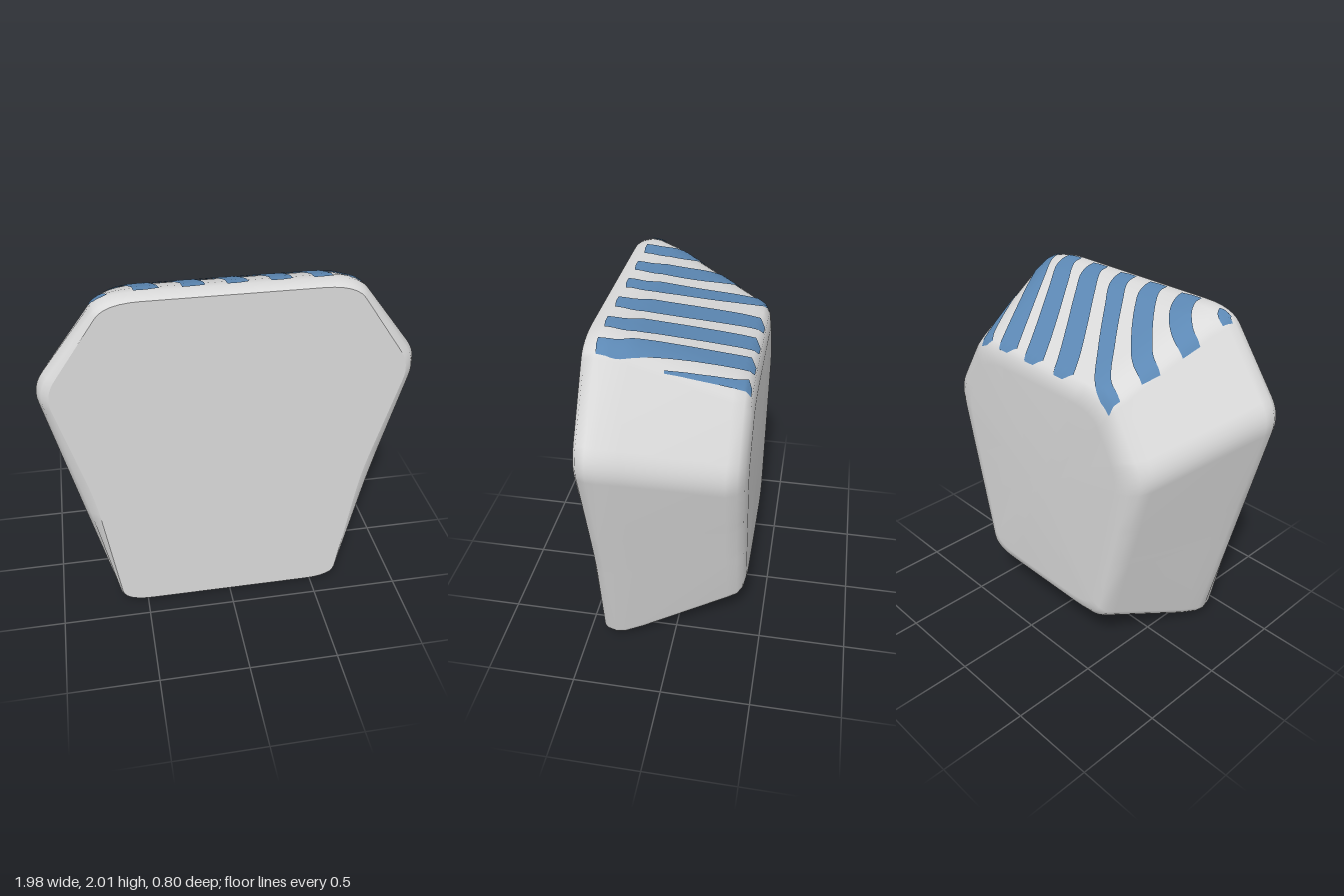
import * as THREE from 'three';

// Cross-sections from front to back: z, topY, bottomY, topX, hipX, hipY, bottomX, dent
const SECTIONS = [
  [0.40, 1.98, 0.02, 0.62, 0.95, 1.50, 0.635, 0.05],
  [0.38, 1.99, 0.01, 0.635, 0.985, 1.515, 0.64, 0.02],
  [0.33, 2.00, 0.00, 0.645, 1.008, 1.525, 0.645, 0],
  [0.28, 1.995, 0.005, 0.64, 0.998, 1.515, 0.64, 0],
  [0.18, 1.967, 0.033, 0.615, 0.962, 1.49, 0.61, 0],
  [-0.30, 1.738, 0.235, 0.51, 0.77, 1.33, 0.49, 0],
  [-0.355, 1.71, 0.26, 0.495, 0.735, 1.32, 0.475, 0],
  [-0.385, 1.675, 0.295, 0.47, 0.68, 1.31, 0.45, 0],
  [-0.40, 1.60, 0.35, 0.42, 0.60, 1.29, 0.41, 0],
];

// Rounded coffin-shaped outline, clockwise seen from the front
function outline([, top, bottom, topX, hipX, hipY, bottomX, dent]) {
  const midY = bottom + (hipY - bottom) * 0.53;
  const midX = bottomX + (hipX - bottomX) * 0.53 - dent;
  // corner x, y, cut before the corner, cut after it
  const half = [
    [topX, top, 0.17, 0.09], [hipX, hipY, 0.1, 0.1],
    [midX, midY, 0.15, 0.15], [bottomX, bottom, 0.08, 0.17],
  ];
  const corners = [...half, ...half.slice().reverse().map(([x, y, a, b]) => [-x, y, b, a])];
  const points = [];
  corners.forEach(([x, y, before, after], i) => {
    const at = (c) => new THREE.Vector2(c[0], c[1]);
    const corner = new THREE.Vector2(x, y);
    const toward = (c, d) => corner.clone().add(at(c).sub(corner).setLength(d));
    const curve = new THREE.QuadraticBezierCurve(
      toward(corners.at(i - 1), before), corner, toward(corners[(i + 1) % corners.length], after));
    points.push(...curve.getPoints(6));
  });
  return points;
}

function sectionAt(z) {
  let i = 0;
  while (i < SECTIONS.length - 2 && z < SECTIONS[i + 1][0]) i++;
  const a = SECTIONS[i], b = SECTIONS[i + 1];
  const t = (z - a[0]) / (b[0] - a[0]);
  return a.map((v, k) => v + (b[k] - v) * t);
}

// Height of the upper surface at x, z
function topHeight(x, z) {
  const p = outline(sectionAt(z));
  let best = 0;
  p.forEach((a, i) => {
    const b = p[(i + 1) % p.length];
    if (Math.abs(a.x - b.x) < 1e-6 || (x - a.x) * (x - b.x) > 0) return;
    best = Math.max(best, a.y + (b.y - a.y) * (x - a.x) / (b.x - a.x));
  });
  return best;
}

function makeGeometry(positions, index) {
  const g = new THREE.BufferGeometry();
  g.setAttribute('position', new THREE.Float32BufferAttribute(positions, 3));
  g.setIndex(index);
  g.computeVertexNormals();
  return g;
}

// Smooth sides with a closed back
function shellGeometry() {
  const rings = SECTIONS.map(outline), n = rings[0].length;
  const positions = [], index = [];
  rings.forEach((ring, i) => ring.forEach((p) => positions.push(p.x, p.y, SECTIONS[i][0])));
  for (let i = 0; i < rings.length - 1; i++) {
    for (let j = 0; j < n; j++) {
      const a = i * n + j, b = i * n + (j + 1) % n;
      index.push(a, b, a + n, b, b + n, a + n);
    }
  }
  const last = (rings.length - 1) * n;
  positions.push(0, 0.97, -0.4);
  for (let j = 0; j < n; j++) index.push(last + n, last + j, last + (j + 1) % n);
  return makeGeometry(positions, index);
}

// Flat front panel with a sharp rim
function frontGeometry() {
  const ring = outline(SECTIONS[0]), n = ring.length;
  const positions = [0, 1, 0.4], index = [];
  ring.forEach((p, j) => {
    positions.push(p.x, p.y, 0.4);
    index.push(0, 1 + (j + 1) % n, 1 + j);
  });
  return makeGeometry(positions, index);
}

// Ribbon laid over the upper surface along x, z points
function stripeGeometry(path, startWidth, endWidth) {
  const curve = new THREE.CatmullRomCurve3(path.map(([x, z]) => new THREE.Vector3(x, 0, z)), false, 'centripetal');
  const rows = 28, cols = 6, positions = [], index = [];
  for (let i = 0; i <= rows; i++) {
    const p = curve.getPoint(i / rows), t = curve.getTangent(i / rows);
    const width = startWidth + (endWidth - startWidth) * i / rows;
    for (let j = 0; j <= cols; j++) {
      const s = (j / cols - 0.5) * width;
      const x = p.x + t.z * s;
      const z = THREE.MathUtils.clamp(p.z - t.x * s, -0.38, 0.33);
      positions.push(x, topHeight(x, z) + 0.007, z);
      if (i < rows && j < cols) {
        const a = i * (cols + 1) + j, b = a + cols + 1;
        index.push(a, b, a + 1, b, b + 1, a + 1);
      }
    }
  }
  return makeGeometry(positions, index);
}

// Stripe paths with start and end widths
const STRIPES = [
  [[[-0.685, 0.285], [-0.65, 0.295], [-0.63, 0.335]], 0.06, 0.07],
  [[[-0.645, 0.065], [-0.57, 0.085], [-0.48, 0.16], [-0.425, 0.25], [-0.41, 0.33]], 0.1, 0.125],
  [[[-0.585, -0.155], [-0.5, -0.125], [-0.38, -0.01], [-0.25, 0.15], [-0.19, 0.25], [-0.18, 0.33]], 0.1, 0.115],
  [[[-0.53, -0.355], [-0.43, -0.325], [-0.27, -0.15], [-0.08, 0.09], [0.02, 0.23], [0.04, 0.33]], 0.07, 0.11],
  [[[-0.19, -0.38], [-0.13, -0.28], [0, -0.1], [0.15, 0.1], [0.245, 0.24], [0.26, 0.33]], 0.12, 0.11],
  [[[0.04, -0.38], [0.1, -0.28], [0.22, -0.1], [0.36, 0.1], [0.455, 0.24], [0.47, 0.33]], 0.12, 0.1],
  [[[0.25, -0.38], [0.31, -0.28], [0.42, -0.1], [0.55, 0.11], [0.63, 0.24], [0.645, 0.33]], 0.12, 0.08],
  [[[0.43, -0.38], [0.46, -0.33], [0.53, -0.18], [0.615, 0.02]], 0.08, 0.01],
];

export function createModel() {
  const model = new THREE.Group();
  model.name = 'stripedBlock';
  const grey = new THREE.MeshStandardMaterial({ color: 0xdadada });
  grey.name = 'light grey';
  const blue = new THREE.MeshStandardMaterial({ color: 0x5c88b4, side: THREE.DoubleSide });
  blue.name = 'stripe blue';

  const add = (name, geometry, material) => {
    const mesh = new THREE.Mesh(geometry, material);
    mesh.name = name;
    model.add(mesh);
  };
  add('bodyShell', shellGeometry(), grey);
  add('frontPanel', frontGeometry(), grey);
  STRIPES.forEach((stripe, i) => add(`topStripe${i + 1}`, stripeGeometry(...stripe), blue));
  return model;
}
